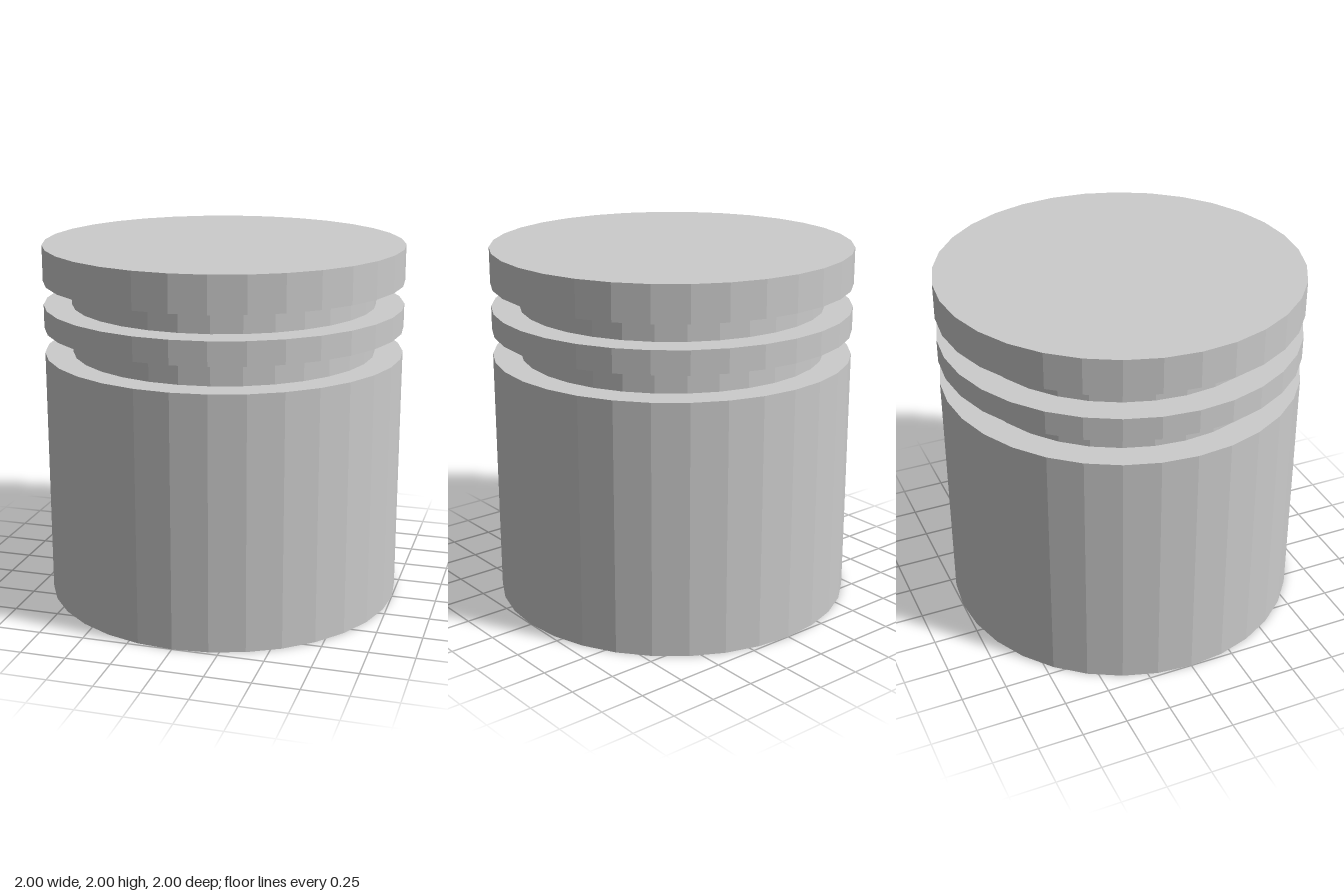
import * as THREE from 'three';

const SIDES = 32;
const OUTER = 1;
const GROOVE = 0.845;

export function createModel() {
  const model = new THREE.Group();
  model.name = 'piston';
  const material = new THREE.MeshStandardMaterial({ color: 0xcccccc, flatShading: true });

  // One faceted band between two heights; grooves need no caps of their own
  function addBand(name, radius, bottom, top) {
    const open = radius === GROOVE;
    const geometry = new THREE.CylinderGeometry(radius, radius, top - bottom, SIDES, 1, open);
    const band = new THREE.Mesh(geometry, material);
    band.name = name;
    band.position.y = (bottom + top) / 2;
    model.add(band);
  }

  // Stacked from the base to the flat crown
  addBand('skirt', OUTER, 0, 1.4);
  addBand('lowerRingGroove', GROOVE, 1.4, 1.54);
  addBand('ringLand', OUTER, 1.54, 1.67);
  addBand('upperRingGroove', GROOVE, 1.67, 1.8);
  addBand('crown', OUTER, 1.8, 2);

  return model;
}
